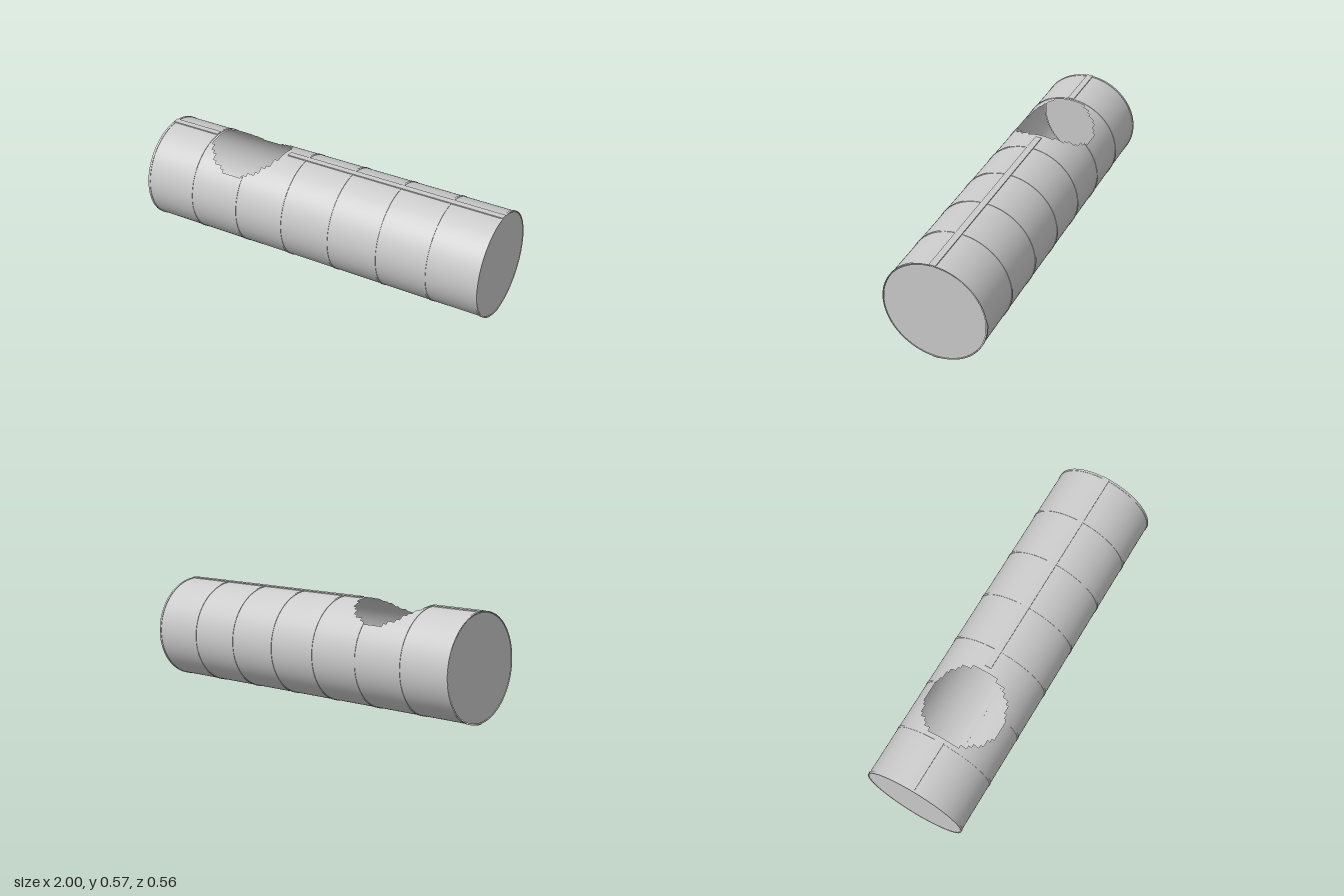
import * as THREE from 'three';
import { toCreasedNormals } from 'three/addons/utils/BufferGeometryUtils.js';

const CY = 0.285; // height of the axis
const R_WALL = 0.28, R_HOOP = 0.2825, R_CAP = 0.2765;
const HOLE_X = -0.485, HOLE_R = 0.212;
const COLS = 97, ROWS = 96; // wall cells along and around the pipe

const steel = new THREE.MeshStandardMaterial({ color: 0xcccccc, side: THREE.DoubleSide });
steel.name = 'grey steel';

const xAt = (i) => -1 + (2 * i) / COLS;
const angleAt = (j) => (j / ROWS) * Math.PI * 2;

// A wall cell is missing where it lies within the round opening on top
function isOpen(i, j) {
  const a = angleAt(j + 0.5);
  return Math.cos(a) > 0 && Math.hypot(xAt(i + 0.5) - HOLE_X, R_WALL * Math.sin(a)) < HOLE_R;
}

// Thin sheet wall with a step-edged opening; angles run from the top towards +z
function wallGeometry() {
  const positions = [], normals = [];
  for (let i = 0; i < COLS; i++) {
    for (let j = 0; j < ROWS; j++) {
      if (isOpen(i, j)) continue;
      const corners = [[i, j], [i, j + 1], [i + 1, j + 1], [i + 1, j]];
      for (const k of [0, 1, 2, 0, 2, 3]) {
        const [u, v] = corners[k];
        const y = Math.cos(angleAt(v)), z = Math.sin(angleAt(v));
        positions.push(xAt(u), y * R_WALL, z * R_WALL);
        normals.push(0, y, z);
      }
    }
  }
  const geometry = new THREE.BufferGeometry();
  geometry.setAttribute('position', new THREE.Float32BufferAttribute(positions, 3));
  geometry.setAttribute('normal', new THREE.Float32BufferAttribute(normals, 3));
  return geometry;
}

// Raised hoop around the pipe, left open by "gap" radians each side of the top
function hoopGeometry(gap) {
  const w = 0.006;
  const profile = [[R_WALL, -w], [R_HOOP, -w], [R_HOOP, w], [R_WALL, w]]
    .map(([r, y]) => new THREE.Vector2(r, y));
  const geometry = new THREE.LatheGeometry(profile, ROWS, Math.PI * 1.5 + gap, Math.PI * 2 - 2 * gap);
  geometry.rotateZ(-Math.PI / 2);
  return toCreasedNormals(geometry, 0.5);
}

export function createModel() {
  const model = new THREE.Group();
  model.name = 'pipe';
  const body = new THREE.Group();
  body.name = 'pipeBody';
  body.position.y = CY;
  model.add(body);

  const add = (name, geometry, x = 0, y = 0) => {
    const mesh = new THREE.Mesh(geometry, steel);
    mesh.name = name;
    mesh.position.set(x, y, 0);
    body.add(mesh);
    return mesh;
  };

  add('pipeWall', wallGeometry());

  // Eight evenly spaced hoops, cut where the opening is
  for (let k = 0; k < 8; k++) {
    const x = -0.994 + (k * 1.988) / 7;
    const d = Math.abs(x - HOLE_X);
    const gap = d < HOLE_R ? Math.asin(Math.sqrt(HOLE_R ** 2 - d ** 2) / R_WALL) : 0;
    add('hoop', hoopGeometry(gap), x);
  }

  // Seam strips along the top (either side of the opening) and the bottom
  const strip = (name, x0, x1, side) =>
    add(name, new THREE.BoxGeometry(x1 - x0, 0.006, 0.035), (x0 + x1) / 2, side * 0.282);
  strip('topSeamRight', -1, -0.705, 1);
  strip('topSeamLeft', -0.25, 1, 1);
  strip('bottomSeam', -1, 1, -1);

  // End discs, flush with the ends and just clear of the wall
  for (const side of [-1, 1]) {
    const cap = add(side > 0 ? 'leftEndCap' : 'rightEndCap', new THREE.CircleGeometry(R_CAP, ROWS), side * 0.998);
    cap.rotation.y = (side * Math.PI) / 2;
  }
  return model;
}
